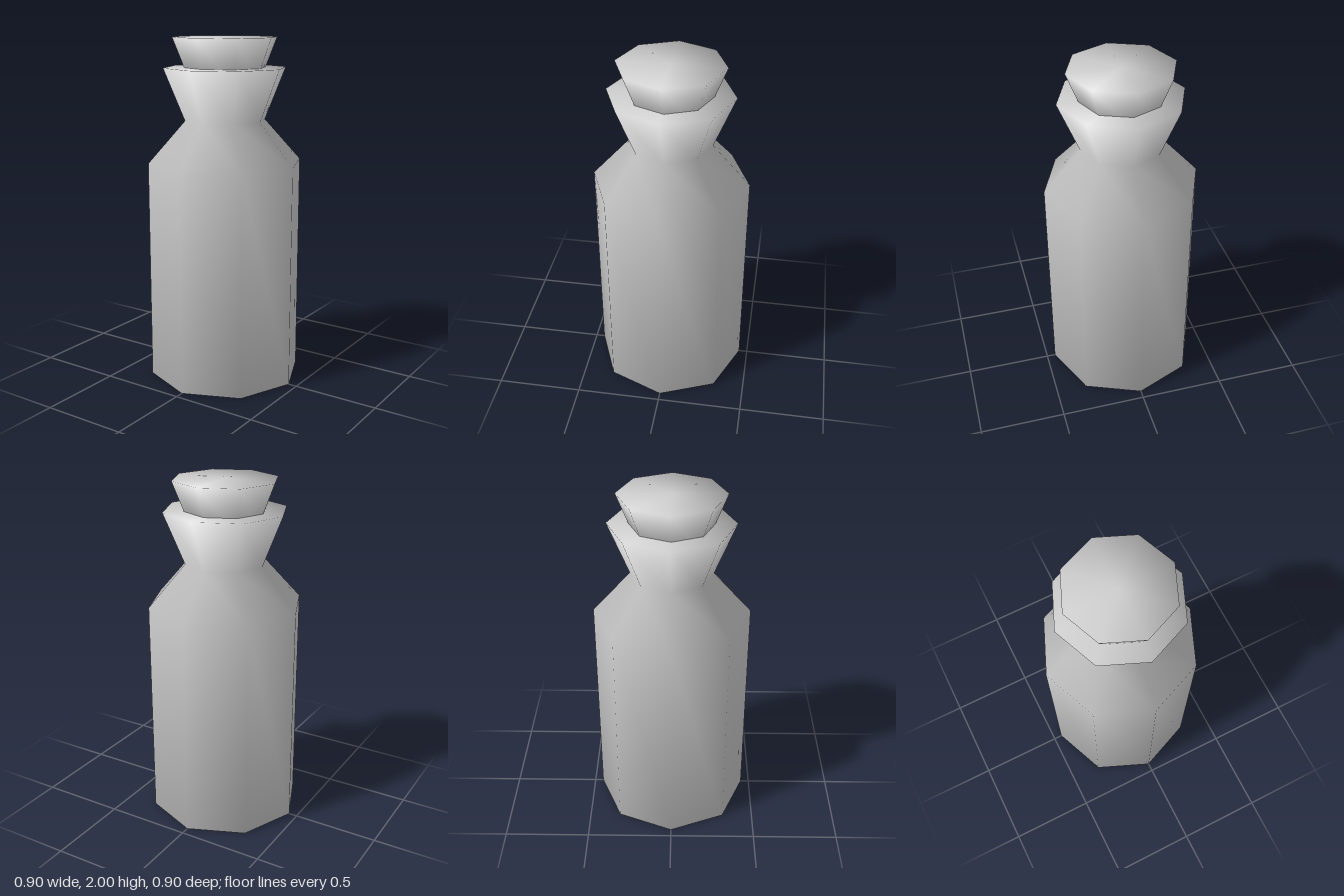
import * as THREE from 'three';

const SIDES = 8;

// Closed eight-sided turned solid, smooth shaded, from [radius, height] points listed bottom to top
function turned(name, profile, material) {
  const points = profile.map(([r, y]) => new THREE.Vector2(r, y));
  const mesh = new THREE.Mesh(new THREE.LatheGeometry(points, SIDES), material);
  mesh.name = name;
  return mesh;
}

export function createModel() {
  const group = new THREE.Group();
  group.name = 'stopperedBottle';
  const material = new THREE.MeshStandardMaterial({ color: 0xcccccc });

  // Bottle: straight body, sloped shoulder, pinched neck and flared lip
  group.add(turned('bottle', [
    [0, 0],
    [0.45, 0],
    [0.45, 1.29],
    [0.235, 1.53],
    [0.357, 1.83],
    [0, 1.83],
  ], material));

  // Tapered stopper seated in the lip
  group.add(turned('stopper', [
    [0, 1.75],
    [0.205, 1.75],
    [0.303, 2],
    [0, 2],
  ], material));

  return group;
}
